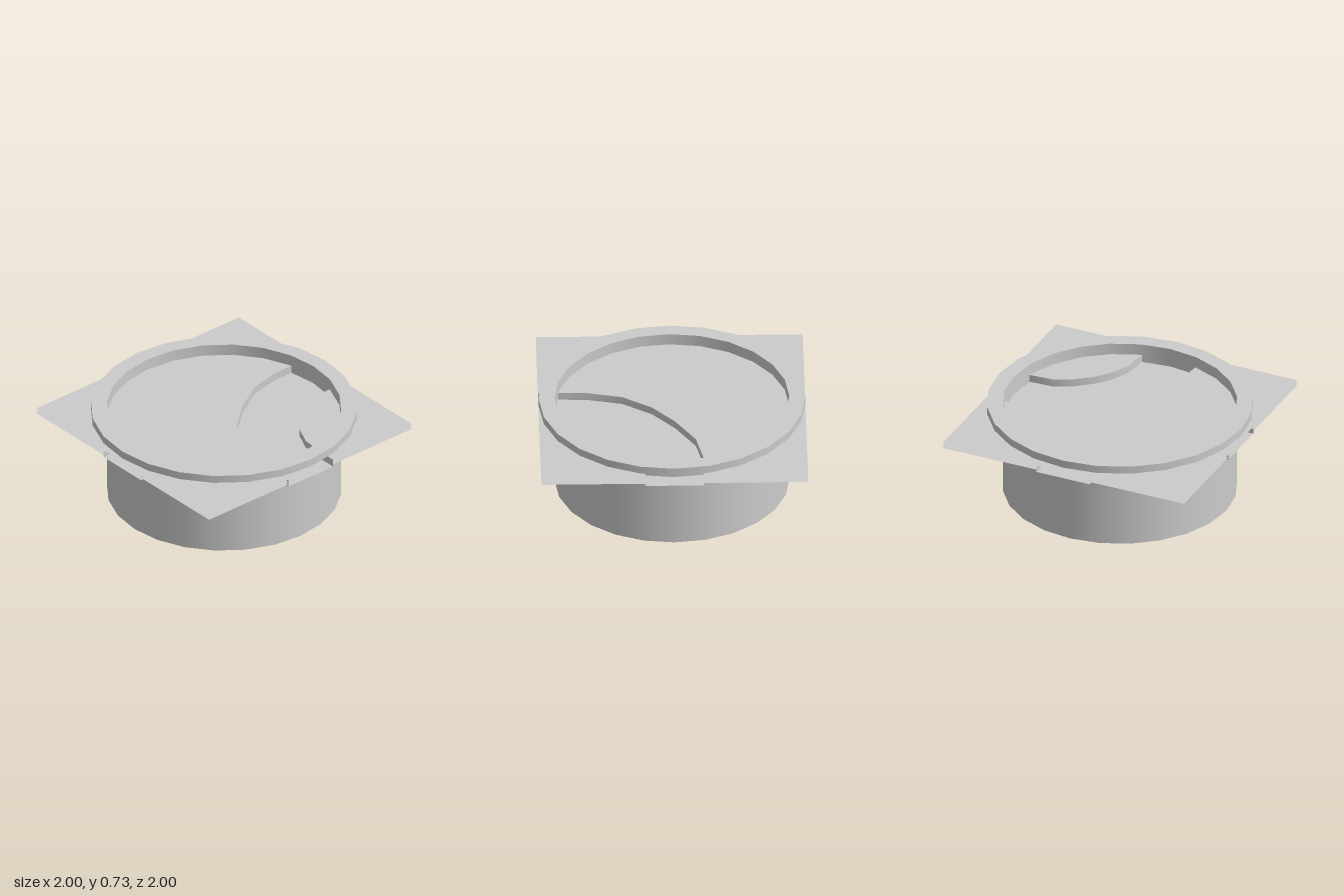
import * as THREE from 'three';

const material = new THREE.MeshStandardMaterial({ color: 0xcccccc, side: THREE.DoubleSide });

// Plan curves (x, z) of the bent channel running from the back edge to the +x edge
const innerBend = [[0.22, -1], [0.22, -0.85], [0.23, -0.67], [0.3, -0.52], [0.4, -0.4],
  [0.51, -0.31], [0.66, -0.24], [0.85, -0.22], [1, -0.22]];
const outerBend = [[-0.22, -1], [-0.22, -0.85], [-0.22, -0.7], [-0.17, -0.45], [-0.02, -0.2],
  [0.15, 0], [0.37, 0.15], [0.63, 0.21], [0.85, 0.22], [1, 0.22]];
const turned = (points) => points.map(([x, z]) => [-x, -z]);
const reversed = (points) => [...points].reverse();

function add(group, name, geometry) {
  const mesh = new THREE.Mesh(geometry, material);
  mesh.name = name;
  group.add(mesh);
  return mesh;
}

// Flat horizontal sheet with the given plan outline
function sheet(points, y) {
  const shape = new THREE.Shape(points.map(([x, z]) => new THREE.Vector2(x, z)));
  return new THREE.ShapeGeometry(shape).rotateX(-Math.PI / 2).scale(1, 1, -1).translate(0, y, 0);
}

// ShapeGeometry is mirrored into plan space, so turn its faces and normals upward
function upward(geometry) {
  const index = geometry.index.array;
  for (let i = 0; i < index.length; i += 3) {
    [index[i], index[i + 1]] = [index[i + 1], index[i]];
  }
  geometry.computeVertexNormals();
  return geometry;
}

// Vertical wall along a plan curve
function wall(points, low, high) {
  const position = [];
  const index = [];
  points.forEach(([x, z], i) => {
    position.push(x, low, z, x, high, z);
    if (i > 0) {
      const a = 2 * i - 2;
      index.push(a, a + 2, a + 1, a + 1, a + 2, a + 3);
    }
  });
  const geometry = new THREE.BufferGeometry();
  geometry.setAttribute('position', new THREE.Float32BufferAttribute(position, 3));
  geometry.setIndex(index);
  geometry.computeVertexNormals();
  return geometry;
}

// Bent trough, open at the top and at both ends
function channel(name, inner, outer, low, high) {
  const group = new THREE.Group();
  group.name = name;
  add(group, 'channelFloor', upward(sheet([...inner, ...reversed(outer)], low)));
  add(group, 'channelInnerWall', wall(inner, low, high));
  add(group, 'channelOuterWall', wall(outer, low, high));
  return group;
}

export function createModel() {
  const model = new THREE.Group();
  model.name = 'manhole';

  // Open shaft
  add(model, 'shaft', new THREE.CylinderGeometry(0.88, 0.88, 0.7, 24, 1, true).translate(0, 0.35, 0));

  // Raised rim: four separate faces keep the edges sharp and the sides smooth
  const rim = new THREE.Group();
  rim.name = 'rim';
  const corners = [[0.88, 0.67], [1, 0.67], [1, 0.73], [0.88, 0.73], [0.88, 0.67]]
    .map(([r, y]) => new THREE.Vector2(r, y));
  for (let i = 0; i < 4; i++) {
    add(rim, 'rimFace', new THREE.LatheGeometry([corners[i], corners[i + 1]], 24));
  }
  model.add(rim);

  // Top sheet, cut by the upper channel
  const corner = [...innerBend, [1, -1]];
  add(model, 'topSheet', upward(sheet([...outerBend, [1, 1], [-1, 1], [-1, -1]], 0.64)));
  add(model, 'topSheetCorner', upward(sheet(corner, 0.64)));

  // Lower sheets, cut by both channels
  const middle = [...outerBend, [1, 1], ...turned(outerBend), [-1, -1]];
  for (const y of [0.62, 0.6]) {
    add(model, 'lowerSheet', upward(sheet(middle, y)));
    add(model, 'lowerSheetCorner', upward(sheet(corner, y)));
    add(model, 'lowerSheetCorner', upward(sheet(turned(corner), y)));
  }

  // Upper channel and the covered one opposite
  model.add(channel('upperChannel', innerBend, outerBend, 0.58, 0.64));
  model.add(channel('lowerChannel', turned(innerBend), turned(outerBend), 0.58, 0.62));

  return model;
}
